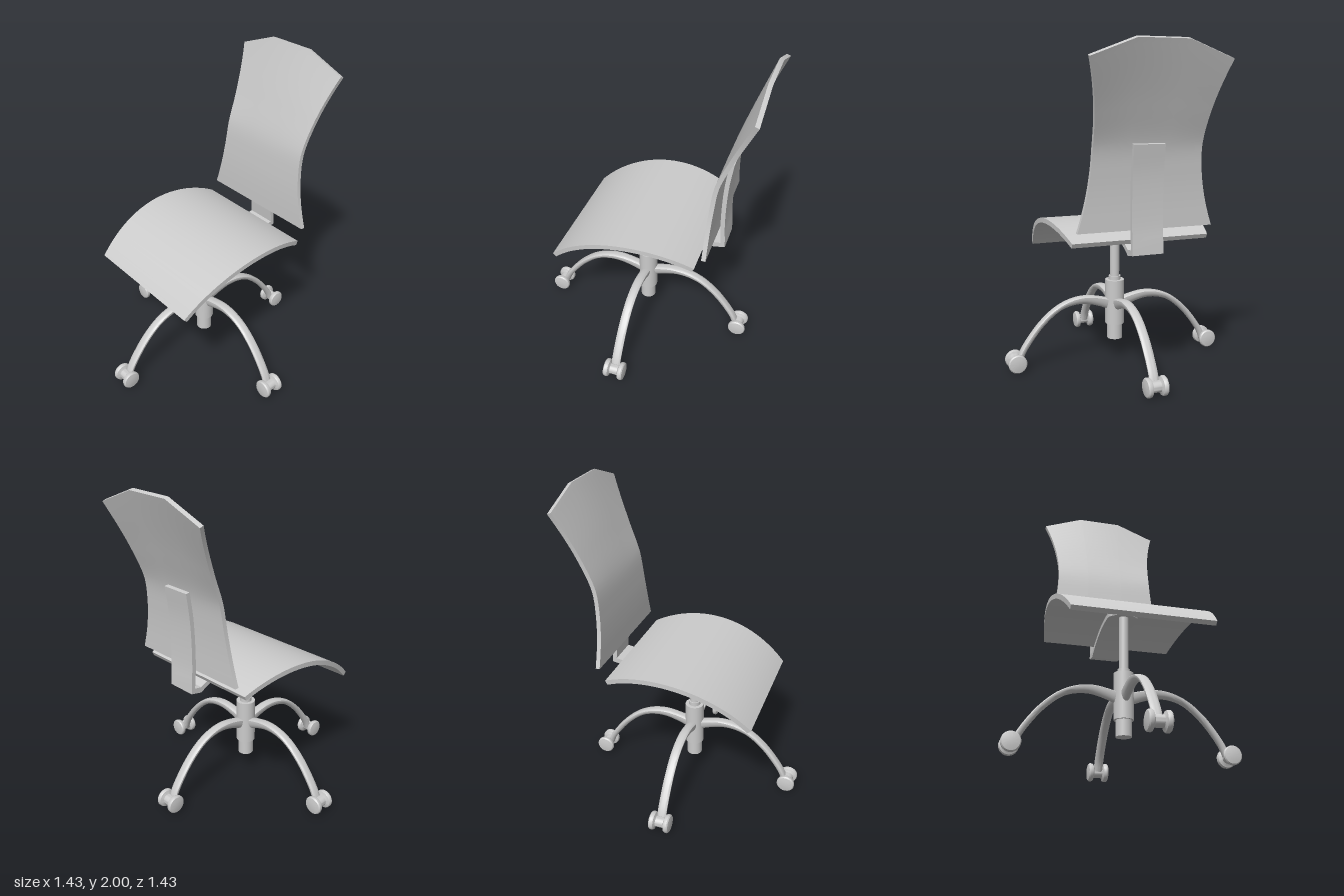
import * as THREE from 'three';
import { toCreasedNormals } from 'three/addons/utils/BufferGeometryUtils.js';

const material = new THREE.MeshStandardMaterial({ color: 0xcccccc, side: THREE.DoubleSide });

function addMesh(parent, name, geometry) {
  const mesh = new THREE.Mesh(geometry, material);
  mesh.name = name;
  parent.add(mesh);
  return mesh;
}

// Skin a series of rings (top points left to right, then bottom right to left) and cap both ends
function loft(rings) {
  const n = rings[0].length, last = rings.length - 1, pos = [];
  const quad = (a, b, c, d) => pos.push(...a, ...b, ...c, ...a, ...c, ...d);
  for (let i = 0; i < last; i++) {
    for (let k = 0; k < n; k++) {
      const m = (k + 1) % n;
      quad(rings[i][k], rings[i][m], rings[i + 1][m], rings[i + 1][k]);
    }
  }
  const s = rings[0], e = rings[last];
  for (let k = 0; k < n / 2 - 1; k++) {
    quad(s[k], s[n - 1 - k], s[n - 2 - k], s[k + 1]);
    quad(e[k], e[k + 1], e[n - 2 - k], e[n - 1 - k]);
  }
  const geometry = new THREE.BufferGeometry();
  geometry.setAttribute('position', new THREE.Float32BufferAttribute(pos, 3));
  return toCreasedNormals(geometry, 0.6);
}

// Sheet between an outer and an inner profile; stations hold a, b as [z, y], half width w and side drop
function sheet(stations, columns, cx) {
  return loft(stations.map(({ a, b, w, drop = 0 }) => {
    const row = (p) => columns.map((f) => [cx + f * w, p[1] - (Math.abs(f) === 1 ? drop : 0), p[0]]);
    return [...row(a), ...row(b).reverse()];
  }));
}

// Curve through [z, y] points, sampled with the normal on its upper/front side
function sample(points, count) {
  const curve = new THREE.CatmullRomCurve3(points.map(([z, y]) => new THREE.Vector3(0, y, z)));
  return Array.from({ length: count + 1 }, (_, i) => {
    const p = curve.getPointAt(i / count), t = curve.getTangentAt(i / count);
    return { z: p.z, y: p.y, nz: t.y, ny: -t.z, t: i / count };
  });
}

// Point at depth z on an arc concentric with the seat
const ARC_Z = -0.074, ARC_Y = 0.172;
const onArc = (r, z) => [z, ARC_Y + Math.sqrt(r * r - (z - ARC_Z) ** 2)];

function seatGeometry() {
  const stations = [];
  for (let i = 0; i <= 32; i++) {
    const ang = THREE.MathUtils.lerp(0.811, -0.47, i / 32);
    const at = (r) => [ARC_Z + r * Math.sin(ang), ARC_Y + r * Math.cos(ang)];
    const a = at(0.785);
    stations.push({ a, b: at(0.755), w: 0.425 + 0.049 * (1 - ((a[0] - 0.03) / 0.46) ** 2) });
  }
  return sheet(stations, [-1, 1], -0.007);
}

function backrestGeometry() {
  const profile = [[-0.466, 0.94], [-0.468, 1.1], [-0.476, 1.25], [-0.496, 1.42], [-0.567, 1.65], [-0.693, 2]];
  const stations = sample(profile, 32).map(({ z, y, nz, ny }) => {
    const drop = 0.1 * Math.max(0, (y - 1.42) / 0.58);
    const w = 0.332 + 0.083 * ((y - drop - 1.42) / 0.48) ** 2;
    return { a: [z, y], b: [z - 0.026 * nz, y - 0.026 * ny], w, drop };
  });
  return sheet(stations, [-1, -0.36, 0.36, 1], -0.007);
}

function bracketGeometry() {
  const W = 0.095, stations = [];
  // rounded tongue that follows the underside of the seat
  for (let i = 0; i <= 10; i++) {
    const ang = (i / 10) * Math.PI / 2, z = -0.032 + W * Math.cos(ang);
    stations.push({ a: onArc(0.755, z), b: onArc(0.725, z), w: Math.max(0.004, W * Math.sin(ang)) });
  }
  for (let i = 1; i <= 12; i++) {
    const z = -0.032 - 0.428 * i / 12;
    stations.push({ a: onArc(0.755, z), b: onArc(0.725, z), w: W });
  }
  // corner and upright
  stations.push({ a: [-0.508, 0.828], b: [-0.535, 0.8], w: W });
  const upright = [[-0.508, 0.828], [-0.498, 0.95], [-0.497, 1.13], [-0.505, 1.28], [-0.525, 1.433]];
  for (const { z, y, nz, ny } of sample(upright, 16).slice(1)) {
    stations.push({ a: [z, y], b: [z - 0.027 * nz, y - 0.027 * ny], w: W });
  }
  return sheet(stations, [-1, 1], 0);
}

// Curved leg with a flattened top and a rounded belly that deepens towards the hub
function legGeometry() {
  const path = [[0.03, 0.4], [0.1, 0.42], [0.2, 0.435], [0.3, 0.422], [0.4, 0.378],
    [0.5, 0.295], [0.58, 0.198], [0.63, 0.12], [0.65, 0.07]].map(([r, y]) => [-r, y]);
  return loft(sample(path, 28).map(({ z, y, nz, ny, t }) => {
    const depth = 0.028 + 0.032 * Math.max(0, 1 - t / 0.45);
    return Array.from({ length: 20 }, (_, k) => {
      const ang = Math.PI - ((k + 0.5) / 20) * Math.PI * 2, s = Math.sin(ang);
      const up = s * (s > 0 ? 0.01 : depth) - 0.01;
      return [0.029 * Math.cos(ang), y + up * ny, z + up * nz];
    });
  }));
}

// Twin wheels and axle turned as one spool
function casterGeometry() {
  const half = [[0.034, 0], [0.034, 0.026], [0.042, 0.03], [0.054, 0.034], [0.058, 0.042],
    [0.058, 0.056], [0.052, 0.063], [0.03, 0.067], [0, 0.068]];
  const profile = [...half.slice(1).reverse().map(([r, h]) => [r, -h]), ...half];
  const geometry = new THREE.LatheGeometry(profile.map(([r, h]) => new THREE.Vector2(r, h)), 32);
  return toCreasedNormals(geometry.rotateZ(Math.PI / 2), 0.6);
}

export function createModel() {
  const model = new THREE.Group();
  model.name = 'officeChair';

  addMesh(model, 'seat', seatGeometry());
  addMesh(model, 'backrest', backrestGeometry());
  addMesh(model, 'backrestBracket', bracketGeometry());

  // Gas lift: radius, bottom, top
  const column = [
    ['post', 0.03, 0.5, 0.91], ['postCollar', 0.038, 0.5, 0.55],
    ['hub', 0.061, 0.235, 0.525], ['lowerSleeve', 0.049, 0.135, 0.26],
  ];
  for (const [name, r, y0, y1] of column) {
    addMesh(model, name, new THREE.CylinderGeometry(r, r, y1 - y0, 32)).position.y = (y0 + y1) / 2;
  }

  // Four-star base
  const leg = legGeometry(), caster = casterGeometry();
  for (let i = 0; i < 4; i++) {
    const arm = new THREE.Group();
    arm.name = 'baseArm';
    arm.rotation.y = i * Math.PI / 2;
    addMesh(arm, 'leg', leg);
    addMesh(arm, 'caster', caster).position.set(0, 0.058, -0.656);
    model.add(arm);
  }
  return model;
}
